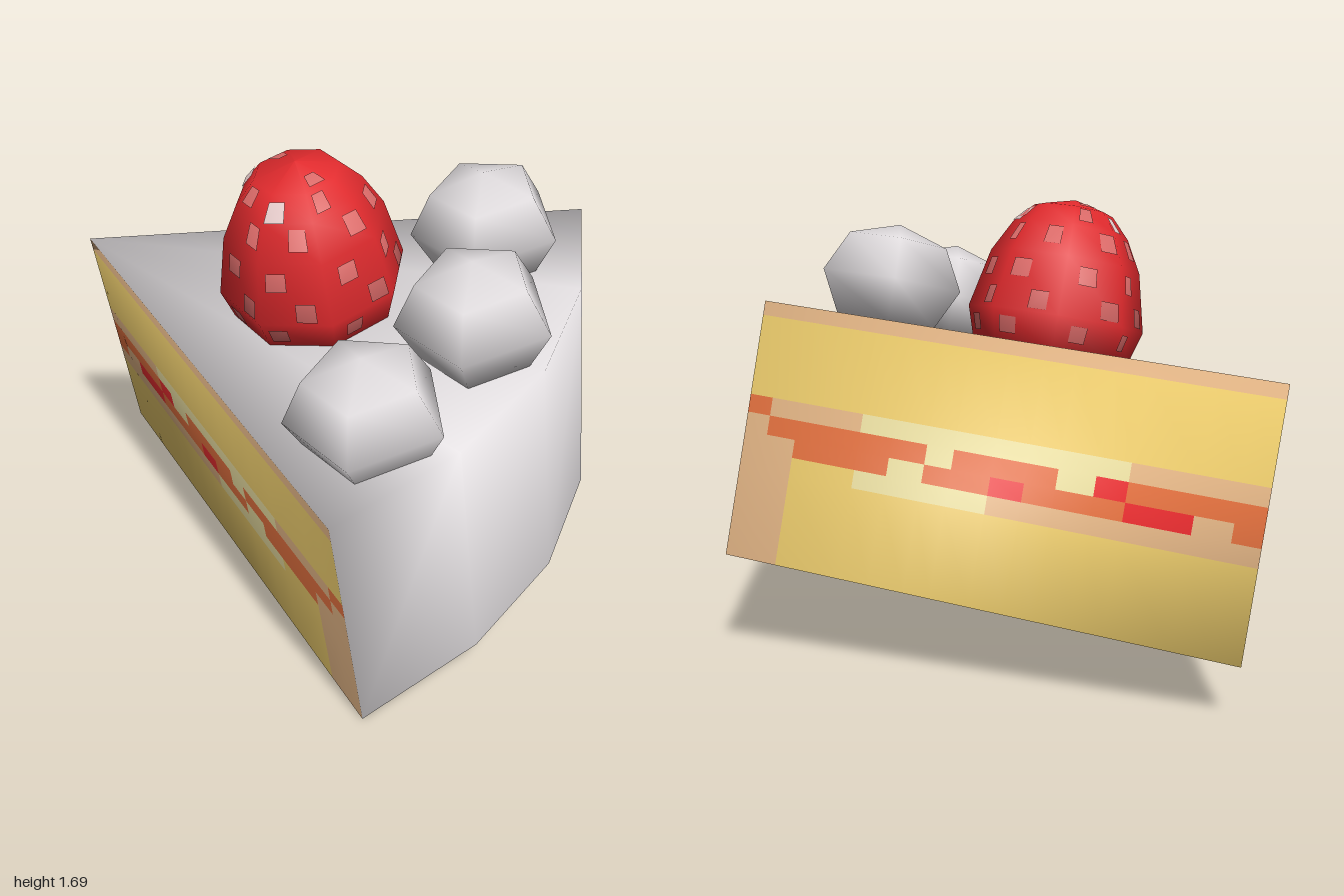
import * as THREE from 'three';

const mat = (name, color, side = THREE.DoubleSide) => {
  const m = new THREE.MeshStandardMaterial({ color, side });
  m.name = name;
  return m;
};

const HEIGHT = 0.946;
// Outline of the slice: tip first, then the curved back
const OUTLINE = [[-1, 0], [0.7, 0.9], [0.9, 0.45], [0.97, 0], [0.9, -0.45], [0.7, -0.9]];

// Cut face pattern: P crumb, Y sponge, C cream, J jam, R fruit
const COLS = [-1, -0.91, -0.79, -0.58, -0.48, -0.36, -0.26, -0.15, -0.02, 0.07, 0.19, 0.3, 0.52, 0.62, 0.7];
const ROWS = [1, 0.945, 0.635, 0.565, 0.49, 0.42, 0.35, 0];
const PATTERN = [
  'PPPPPPPPPPPPPP',
  'YYYYYYYYYYYYYY',
  'PPPCCCCCCCCPPJ',
  'JJJRCJJJCJJJJP',
  'JPRJJJRJJCJJPP',
  'PPPPPPPCCCCYPP',
  'YYYYYYYYYYYYPP',
];

function buildGeometry(positions, normals, index) {
  const g = new THREE.BufferGeometry();
  g.setAttribute('position', new THREE.Float32BufferAttribute(positions, 3));
  if (normals) g.setAttribute('normal', new THREE.Float32BufferAttribute(normals, 3));
  g.setIndex(index);
  return g;
}

// Open-bottomed wedge; normals are shared by all sides, then only frosting faces are kept
function frostingShell() {
  const n = OUTLINE.length, pos = [], walls = [], frosting = [];
  for (const y of [0, HEIGHT]) OUTLINE.forEach(([x, z]) => pos.push(x, y, z));
  for (let i = 0; i < n; i++) {
    const j = (i + 1) % n;
    const target = i === 0 || j === 0 ? walls : frosting;
    target.push(i, j, n + j, i, n + j, n + i);
  }
  for (let i = 1; i < n - 1; i++) frosting.push(n, n + i, n + i + 1);
  const g = buildGeometry(pos, null, [...walls, ...frosting]);
  g.computeVertexNormals();
  g.setIndex(frosting);
  return g;
}

// One cut face, split into coloured cells; corner = outline index of its outer end
function cutFace(shell, corner, colours) {
  const n = OUTLINE.length;
  const at = (attr, i) => new THREE.Vector3().fromBufferAttribute(shell.getAttribute(attr), i);
  const blend = (attr, u, v) => at(attr, 0).lerp(at(attr, corner), u)
    .lerp(at(attr, n).lerp(at(attr, n + corner), u), v);
  const pos = [], nor = [], index = [];
  const g = new THREE.BufferGeometry();
  const keys = Object.keys(colours);
  keys.forEach((key, k) => {
    const start = index.length;
    PATTERN.forEach((row, r) => [...row].forEach((cell, c) => {
      if (cell !== key) return;
      const base = pos.length / 3;
      const u0 = (COLS[c] + 1) / 1.7, u1 = (COLS[c + 1] + 1) / 1.7;
      for (const [u, v] of [[u0, ROWS[r + 1]], [u1, ROWS[r + 1]], [u1, ROWS[r]], [u0, ROWS[r]]]) {
        pos.push(...blend('position', u, v).toArray());
        nor.push(...blend('normal', u, v).normalize().toArray());
      }
      const order = corner === 1 ? [0, 1, 2, 0, 2, 3] : [0, 2, 1, 0, 3, 2];
      index.push(...order.map(o => base + o));
    }));
    g.addGroup(start, index.length - start, k);
  });
  g.setAttribute('position', new THREE.Float32BufferAttribute(pos, 3));
  g.setAttribute('normal', new THREE.Float32BufferAttribute(nor, 3));
  g.setIndex(index);
  return new THREE.Mesh(g, keys.map(k => colours[k]));
}

// Strawberry profile, bottom to top: radius, height
const BERRY = [[0.001, 0.87], [0.2, 0.885], [0.295, 0.93], [0.335, 1.06], [0.285, 1.28], [0.22, 1.4], [0.15, 1.475], [0.001, 1.515]];
const SIDES = 8;

// Seeds as thin patches lying on the facets; each entry: facet, band, u range, v range
function seedPatches(list) {
  const pos = [], nor = [], index = [];
  const point = (f, band, u, v) => {
    const corner = (ff, k) => {
      const a = ff / SIDES * Math.PI * 2, [r, y] = BERRY[k];
      return new THREE.Vector3(Math.sin(a) * r, y, Math.cos(a) * r);
    };
    return corner(f, band).lerp(corner(f + 1, band), u)
      .lerp(corner(f, band + 1).lerp(corner(f + 1, band + 1), u), v);
  };
  for (const [f, band, u0, u1, v0, v1] of list) {
    const base = pos.length / 3;
    for (const [u, v] of [[u0, v0], [u1, v0], [u1, v1], [u0, v1]]) {
      const p = point(f, band, u, v);
      const normal = p.clone().sub(new THREE.Vector3(0, 1.1, 0)).normalize();
      p.addScaledVector(normal, 0.005);
      pos.push(...p.toArray());
      nor.push(...normal.toArray());
    }
    index.push(base, base + 1, base + 2, base, base + 2, base + 3);
  }
  return buildGeometry(pos, nor, index);
}

export function createModel() {
  const frosting = mat('frosting', 0xdedadc);
  const red = mat('strawberry red', 0xe02a2d);
  const seedPink = mat('seed pink', 0xd96a68, THREE.FrontSide);
  const seedPale = mat('seed pale', 0xe3c9c8, THREE.FrontSide);
  const layers = {
    Y: mat('sponge', 0xe3c468),
    P: mat('crumb', 0xdaae80),
    C: mat('cream', 0xe0d59a),
    J: mat('jam', 0xda6c3c),
    R: red,
  };

  const cake = new THREE.Group();
  cake.name = 'cakeSlice';
  const add = (mesh, name, parent = cake) => {
    mesh.name = name;
    parent.add(mesh);
    return mesh;
  };

  // Cake body
  const shell = frostingShell();
  add(new THREE.Mesh(shell, frosting), 'frosting');
  add(cutFace(shell, 1, layers), 'frontCutFace');
  add(cutFace(shell, OUTLINE.length - 1, layers), 'backCutFace');

  // Cream dollops along the curved back
  const dollop = new THREE.SphereGeometry(0.27, 5, 4).rotateY(Math.PI).scale(1, 0.8, 1);
  [[0.52, 1.1, -0.48], [0.725, 1.1, 0], [0.605, 1.045, 0.5]].forEach((p, i) => {
    add(new THREE.Mesh(dollop, frosting), `creamDollop${i + 1}`).position.set(...p);
  });

  // Strawberry with scattered seeds
  const berry = add(new THREE.Group(), 'strawberry');
  berry.position.set(0.055, 0, -0.04);
  const profile = BERRY.map(([r, y]) => new THREE.Vector2(r, y));
  add(new THREE.Mesh(new THREE.LatheGeometry(profile, SIDES), red), 'strawberryBody', berry);
  const pink = [], pale = [];
  for (let f = 0; f < SIDES; f++) {
    const s = f % 2 ? 0.12 : 0;
    pink.push([f, 2, 0.1 + s, 0.36 + s, 0.35, 0.8]);
    pink.push([f, 3, 0.52 + s, 0.8 + s, 0.06, 0.36]);
    pink.push([f, 3, 0.12 + s, 0.42 + s, 0.55, 0.85]);
    pink.push([f, 4, 0.5 + s, 0.82 + s, 0.3, 0.85]);
    if (f % 2) pink.push([f, 5, 0.15, 0.5, 0.2, 0.85]);
    if (f % 3 === 0) pale.push([f, 5, 0.02, 0.42, 0.0, 0.7]);
    if (f % 4 === 1) pink.push([f, 6, 0.2, 0.8, 0.1, 0.45]);
  }
  add(new THREE.Mesh(seedPatches(pink), seedPink), 'pinkSeeds', berry);
  add(new THREE.Mesh(seedPatches(pale), seedPale), 'paleSeeds', berry);

  // The whole slice leans towards the front
  cake.rotation.x = 0.235;
  cake.position.set(0, 0.2096, -0.1075);
  const model = new THREE.Group();
  model.name = 'cake';
  model.add(cake);
  return model;
}
